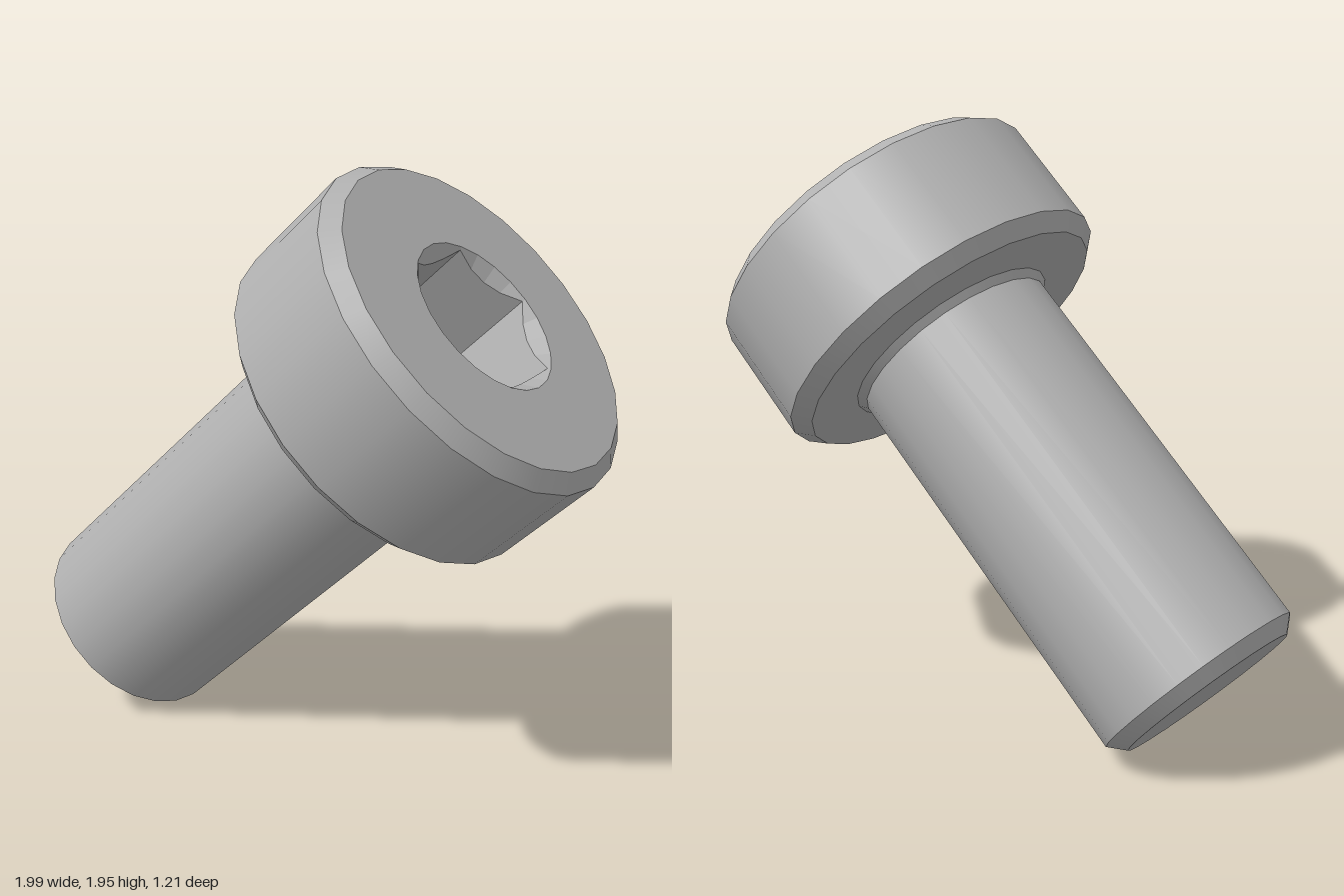
import * as THREE from 'three';
import { mergeGeometries } from 'three/addons/utils/BufferGeometryUtils.js';

const SIDES = 24;
const TOP = 1.923;        // overall length along the bolt axis
const RIM = 0.27;         // countersunk rim of the socket
const FLAT = 0.227;       // hex socket centre to flat
const SOCKET_DEPTH = 0.36;

// Revolve a profile, smooth around the axis and sharp between profile steps
function turned(profile) {
  const bands = [];
  for (let i = 0; i < profile.length - 1; i++) {
    const pair = [profile[i], profile[i + 1]].map(([r, y]) => new THREE.Vector2(r, y));
    bands.push(new THREE.LatheGeometry(pair, SIDES));
  }
  return mergeGeometries(bands);
}

// Hex pocket with a conical lead-in that cuts arcs into its walls
function socketGeometry() {
  const pos = [];
  const at = (phi, r, y) => [r * Math.sin(phi), y, r * Math.cos(phi)];
  const hexRadius = (i) => {
    const step = i % (SIDES / 6);
    return FLAT / Math.cos((step / (SIDES / 6)) * (Math.PI / 3) - Math.PI / 6);
  };
  const column = (i) => {
    const phi = (i / SIDES) * Math.PI * 2, r = hexRadius(i);
    return [
      at(phi, RIM, TOP),
      at(phi, r, TOP - (RIM - r)),
      at(phi, r, TOP - SOCKET_DEPTH),
      [0, TOP - SOCKET_DEPTH, 0],
    ];
  };
  for (let i = 0; i < SIDES; i++) {
    const a = column(i), b = column(i + 1);
    for (let k = 0; k < 3; k++) {
      pos.push(...a[k], ...b[k], ...b[k + 1]);
      if (k < 2) pos.push(...a[k], ...b[k + 1], ...a[k + 1]);
    }
  }
  const geo = new THREE.BufferGeometry();
  geo.setAttribute('position', new THREE.Float32BufferAttribute(pos, 3));
  geo.computeVertexNormals();
  return geo;
}

export function createModel() {
  const steel = new THREE.MeshStandardMaterial({ color: 0xb0b0b0 });
  steel.name = 'steel grey';

  const bolt = new THREE.Group();
  bolt.name = 'bolt';
  const add = (name, geometry) => {
    const mesh = new THREE.Mesh(geometry, steel);
    mesh.name = name;
    bolt.add(mesh);
  };

  // Shank with a chamfered tip and a small fillet under the head
  add('shank', turned([[0, 0], [0.308, 0], [0.357, 0.048], [0.357, 1.4], [0.378, 1.425]]));

  // Head with both edges chamfered
  add('head', turned([
    [0.378, 1.425], [0.553, 1.425], [0.603, 1.474], [0.603, 1.874], [0.553, TOP], [RIM, TOP],
  ]));

  add('hexSocket', socketGeometry());

  // Tilt the bolt so it leans towards +x, resting on the rim of its tip
  bolt.rotation.z = -THREE.MathUtils.degToRad(47.1);
  bolt.position.set(-0.789, 0.231, 0);

  const model = new THREE.Group();
  model.name = 'capScrew';
  model.add(bolt);
  return model;
}
